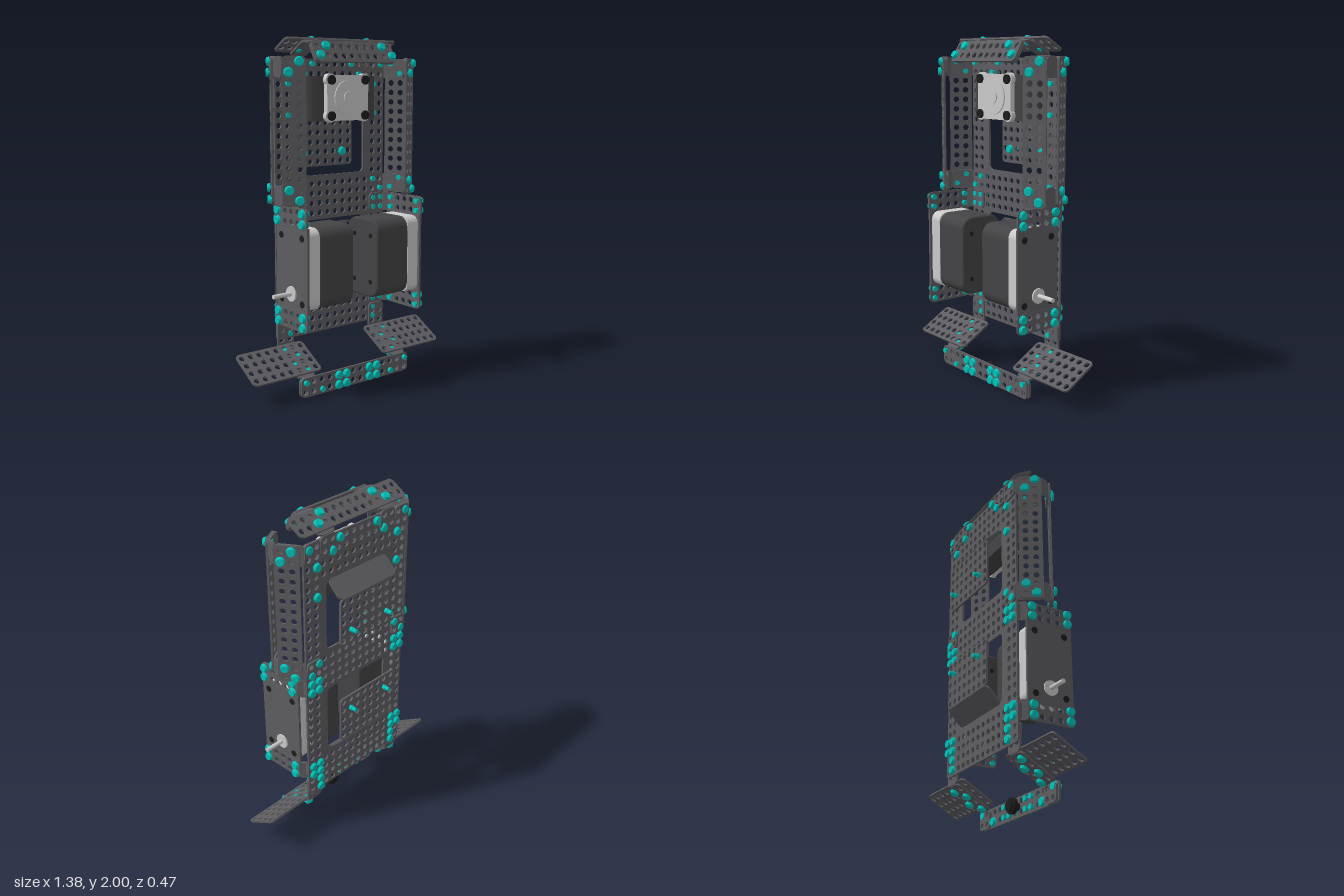
import * as THREE from 'three';
import { mergeGeometries } from 'three/addons/utils/BufferGeometryUtils.js';

const P = 0.0571;   // hole pitch
const T = 0.012;    // sheet thickness
const mat = (color) => new THREE.MeshStandardMaterial({ color });

// Rounded rectangle outline on a Shape or Path
function roundRect(path, cx, cy, w, h, r) {
  const a = w / 2 - r, b = h / 2 - r, q = Math.PI / 2;
  path.absarc(cx + a, cy + b, r, 0, q);
  path.absarc(cx - a, cy + b, r, q, 2 * q);
  path.absarc(cx - a, cy - b, r, 2 * q, 3 * q);
  path.absarc(cx + a, cy - b, r, 3 * q, 4 * q);
  path.closePath();
  return path;
}

function extrude(shape, depth, bevel = 0) {
  const geo = new THREE.ExtrudeGeometry(shape, {
    depth: depth - 2 * bevel, curveSegments: 5, bevelEnabled: bevel > 0,
    bevelSize: bevel, bevelThickness: bevel, bevelOffset: -bevel, bevelSegments: 3,
  });
  return geo.translate(0, 0, bevel - depth / 2);
}

// Perforated sheet, centred, facing z; openings are [cx, cy, w, h]
function panelGeo(w, h, cols, rows, openings = []) {
  const shape = roundRect(new THREE.Shape(), 0, 0, w, h, Math.min(0.025, w / 3, h / 3));
  for (const o of openings) shape.holes.push(roundRect(new THREE.Path(), ...o, 0.03));
  for (let i = 0; i < cols; i++) for (let j = 0; j < rows; j++) {
    const x = (i - (cols - 1) / 2) * P, y = (j - (rows - 1) / 2) * P;
    if (openings.some(([cx, cy, ow, oh]) =>
      Math.abs(x - cx) < ow / 2 + 0.025 && Math.abs(y - cy) < oh / 2 + 0.025)) continue;
    shape.holes.push(new THREE.Path().absarc(x, y, 0.0175, 0, Math.PI * 2));
  }
  return extrude(shape, T);
}

// Rivet with its head towards +z
const rivetGeo = mergeGeometries([
  new THREE.CylinderGeometry(0.021, 0.027, 0.016, 12).rotateX(Math.PI / 2).translate(0, 0, 0.02),
  new THREE.CylinderGeometry(0.016, 0.011, 0.034, 10).rotateX(-Math.PI / 2).translate(0, 0, -0.005),
]);

export function createModel() {
  const root = new THREE.Group();
  const sheet = mat(0x5e5e62), dark = mat(0x444446), light = mat(0xcccccc);
  const black = mat(0x1c1c1e), teal = mat(0x00c4bb);
  const rivets = [];

  const add = (name, geo, material, x = 0, y = 0, z = 0, rx = 0, ry = 0) => {
    const m = new THREE.Mesh(geo, material);
    m.name = name;
    m.position.set(x, y, z);
    m.rotation.set(rx, ry, 0);
    m.updateMatrix();
    root.add(m);
    return m;
  };
  // Rivets at local points of a sheet; side is the direction of the heads
  const rivet = (mesh, points, side) => {
    for (const [x, y] of points) {
      const g = rivetGeo.clone();
      if (side < 0) g.rotateY(Math.PI);
      rivets.push(g.translate(x, y, 0).applyMatrix4(mesh.matrix));
    }
  };
  // Sheet running along x between two (y, z) points
  const segX = (name, x, w, cols, rows, [y0, z0], [y1, z1]) =>
    add(name, panelGeo(w, Math.hypot(y1 - y0, z1 - z0), cols, rows), sheet,
      x, (y0 + y1) / 2, (z0 + z1) / 2, Math.atan2(z1 - z0, y1 - y0));
  // Sheet running along y between two (x, z) points
  const segY = (name, y, h, cols, rows, [x0, z0], [x1, z1]) =>
    add(name, panelGeo(Math.hypot(x1 - x0, z1 - z0), h, cols, rows), sheet,
      (x0 + x1) / 2, y, (z0 + z1) / 2, 0, -Math.atan2(z1 - z0, x1 - x0));

  // Back plate with two window openings
  const plateY = 1.085;
  const plate = add('backPlate', panelGeo(14 * P, 28 * P, 14, 28,
    [[0, 1.425 - plateY, 0.48, 0.41], [0, 0.755 - plateY, 0.48, 0.41]]), sheet, 0, plateY, -0.095);
  const plateRivets = [[0, 2], [1, 2], [0, 3], [1, 3], [0, 12], [1, 12], [0, 13], [1, 13], [1, 0], [1, 1],
    [0, 14], [1, 15], [0, 27], [1, 25], [1, 22], [3, 26], [4, 27]];
  for (const [i, j] of plateRivets) for (const c of [i, 13 - i])
    rivet(plate, [[(c - 6.5) * P, (j - 13.5) * P]], -1);

  // Flaps bent backwards out of the windows
  for (const [root_, bend, tip, cy] of [[1.635, 1.545, 1.26, 1.343], [0.545, 0.635, 0.915, 0.83]]) {
    segX('flapSlope', 0, 0.45, 0, 0, [root_, -0.098], [bend, -0.187]);
    const flap = segX('flap', 0, 0.45, 8, 5, [Math.min(tip, bend), -0.185], [Math.max(tip, bend), -0.185]);
    rivet(flap, [[-0.143, cy - flap.position.y], [0.143, cy - flap.position.y]], 1);
    for (const x of [-0.143, 0.143])
      rivets.push(new THREE.CylinderGeometry(0.012, 0.012, 0.05, 10).rotateX(Math.PI / 2).translate(x, cy, -0.207));
  }

  // Angled edge profile as (outward, z), shared by both sides and the top
  const A = [[0.02, -0.095], [0.09, 0.02]], B = [[0.075, 0.085], [-0.04, 0.15]];
  const clip = [[-0.11, -0.108], [0, -0.108], [0.077, 0.022], [0.065, 0.077], [-0.045, 0.138]];
  const clipHoles = [2, 0, 0, 0];
  const diag = (h, s) => [[-0.03 * s, h], [0.03 * s, -h]];

  for (const s of [-1, 1]) {
    // Side columns: two strips joined by bent clips at top and bottom
    const side = ([u, z]) => [s * (0.4 + u), z];
    for (const [strip, name] of [[A, 'sideStrip'], [B, 'frontStrip']]) {
      const m = segY(name, 1.49, 14 * P, 2, 14, side(strip[0]), side(strip[1]));
      for (const y of [-1, 1])
        rivet(m, [[-0.0286 * s, y * 6.5 * P], [0.0286 * s, y * 5.5 * P]], -s);
    }
    for (const y of [1.142, 1.833]) for (let k = 0; k < 4; k++)
      segY('sideClip', y, 2 * P, clipHoles[k], 2, side(clip[k]), side(clip[k + 1]));

    // Top clips
    for (let k = 0; k < 4; k++) {
      const [p, q] = [clip[k], clip[k + 1]].map(([u, z]) => [1.9 + u, z]);
      segX('topClip', s * 0.23, 2 * P, clipHoles[k], 2, p, q);
    }

    // Motor brackets above and below each lower motor
    for (const y of [0.457, 1.028]) {
      const b = segY('motorBracket', y, 2 * P, 5, 2, [s * 0.418, -0.052], [s * 0.418, 0.235]);
      for (const r of [-0.5, 0.5]) rivet(b, [[-2 * P, r * P], [2 * P, r * P]], -s);
      segY('bracketBend', y, 2 * P, 0, 0, [s * 0.42, -0.045], [s * 0.385, -0.085]);
      segY('bracketFlange', y, 2 * P, 2, 2, [s * 0.4, -0.083], [s * 0.285, -0.083]);
    }

    // Lower motor: dark body, light gearbox, face plate and shaft
    const my = 0.742, mz = 0.088;
    const body = roundRect(new THREE.Shape(), 0, 0, 0.27, 0.46, 0.07);
    add('motorBody', extrude(body, 0.24, 0.012), dark, s * 0.208, my, mz, 0, Math.PI / 2);
    add('gearbox', extrude(roundRect(new THREE.Shape(), 0, 0, 0.265, 0.455, 0.05), 0.085), light,
      s * 0.368, my, mz, 0, Math.PI / 2);
    add('motorFacePlate', new THREE.BoxGeometry(0.014, 0.475, 0.287), sheet, s * 0.414, my, 0.0915);
    const rod = (r, len) => new THREE.CylinderGeometry(r, r, len, 20).rotateZ(Math.PI / 2);
    for (const z of [-0.003, 0.187]) for (const y of [0.557, 0.92]) {
      add('motorScrew', rod(0.019, 0.006), black, s * 0.421, y, z);
      add('rearMotorScrew', rod(0.013, 0.006), black, s * 0.087, my + (y - my) * 0.75, mz + (z - mz) * 0.75);
    }
    add('shaftBoss', rod(0.043, 0.012), light, s * 0.424, 0.6, 0.09);
    add('motorShaft', rod(0.0125, 0.14), light, s * 0.475, 0.6, 0.09);

    // Bent leg strap and side wing
    const leg = [[0.395, -0.083], [0.235, -0.088], [0.11, 0.125], [0.005, 0.125]];
    for (let k = 0; k < 3; k++) {
      const m = segX('legStrap', s * 0.343, 2 * P, 2, [2, 4, 2][k], leg[k], leg[k + 1]);
      if (k === 1) rivet(m, [[s * 0.0286, -1.5 * P], [s * 0.0286, 0.5 * P], [-s * 0.0286, -0.5 * P],
        [-s * 0.0286, 1.5 * P]], 1);
    }
    segX('sideWing', s * 0.4625, 8 * P, 8, 4, [0.252, -0.083], [0.133, 0.12]);
  }

  // Top strips
  const topPoint = ([u, z]) => [1.9 + u, z];
  const rear = segX('topRearStrip', 0, 14 * P, 14, 2, ...A.map(topPoint));
  const front = segX('topFrontStrip', 0, 10 * P, 10, 2, ...B.map(topPoint));
  for (const s of [-1, 1]) {
    rivet(rear, [[s * 3.5 * P, 0.5 * P], [s * 4.5 * P, -0.5 * P]], -1);
    rivet(front, [[s * 3.5 * P, -0.5 * P], [s * 4.5 * P, 0.5 * P]], -1);
  }

  // Bottom bar
  const bar = add('bottomBar', panelGeo(14 * P, 2 * P, 14, 2), sheet, 0, 0.0625, 0.143);
  for (const c of [-2.5, -1.5, 1.5, 2.5]) rivet(bar, [[c * P, -P / 2], [c * P, P / 2]], 1);
  rivet(bar, [[-6.5 * P, P / 2], [6.5 * P, P / 2], [-4.5 * P, -P / 2], [4.5 * P, -P / 2]], -1);
  // Knob behind the bar
  const disc = (r, d) => new THREE.CylinderGeometry(r, r, d, 20).rotateX(Math.PI / 2);
  add('knobStem', disc(0.022, 0.06), black, 0, 0.064, 0.115);
  add('knob', disc(0.045, 0.024), black, 0, 0.064, 0.098);
  add('knobCap', disc(0.032, 0.014), black, 0, 0.064, 0.08);

  // Upper motor: housing with rounded sides, light face plate
  const housing = new THREE.Shape();
  housing.moveTo(-0.26, -0.085);
  housing.lineTo(0.26, -0.085);
  housing.lineTo(0.26, -0.03);
  housing.quadraticCurveTo(0.25, 0.025, 0.18, 0.035);
  housing.lineTo(-0.18, 0.035);
  housing.quadraticCurveTo(-0.25, 0.025, -0.26, -0.03);
  add('upperMotorHousing', extrude(housing, 0.25), dark, 0, 1.662, 0, Math.PI / 2);
  const face = new THREE.Shape(), d = Math.PI / 180;
  [[1, 1], [-1, 1], [-1, -1], [1, -1]].forEach(([x, y], k) =>
    face.absarc(x * 0.122, y * 0.1, 0.036, (k * 90 - 40) * d, (k * 90 + 130) * d));
  add('upperMotorFace', extrude(face, 0.03), light, 0, 1.665, 0.048);
  add('upperMotorDisc', disc(0.1, 0.008), light, 0, 1.665, 0.066);
  add('upperMotorHub', disc(0.037, 0.008), light, 0, 1.665, 0.072);
  for (const x of [-0.122, 0.122]) for (const y of [-0.1, 0.1])
    add('upperMotorScrew', disc(0.026, 0.014), black, x, 1.665 + y, 0.068);

  add('rivets', mergeGeometries(rivets), teal);
  return root;
}
